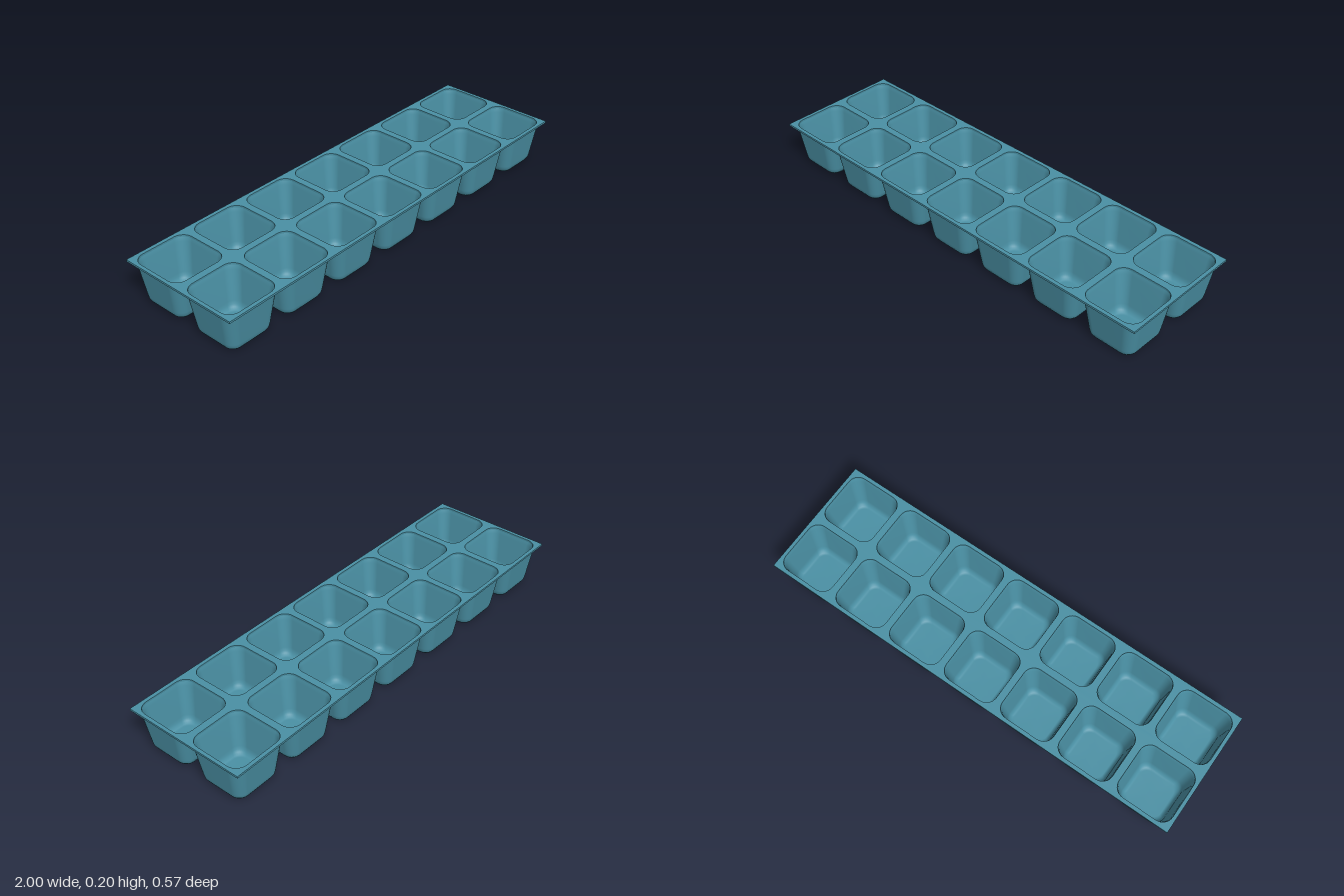
import * as THREE from 'three';

const COLS = 7, ROWS = 2, PITCH = 2 / COLS, HALF_DEPTH = 0.287;
const PLATE_Y = 0.187, PLATE_T = 0.009;
const MOUTH = { half: 0.127, radius: 0.05 };
const CORNER_STEPS = 8;

// Points of a rounded square, as [x, z] pairs
function roundedSquare(half, radius) {
  const pts = [];
  const c = half - radius;
  [[1, 1], [-1, 1], [-1, -1], [1, -1]].forEach(([sx, sz], q) => {
    for (let k = 0; k <= CORNER_STEPS; k++) {
      const a = (q + k / CORNER_STEPS) * Math.PI / 2;
      pts.push([sx * c + radius * Math.cos(a), sz * c + radius * Math.sin(a)]);
    }
  });
  return pts;
}

// Skin over a stack of rounded squares, each [half width, corner radius, y]
function skin(profile) {
  const pos = [], index = [];
  const n = 4 * (CORNER_STEPS + 1);
  profile.forEach(([half, radius, y], i) => {
    roundedSquare(half, radius).forEach(([x, z], j) => {
      pos.push(x, y, z);
      if (i === profile.length - 1) return;
      const a = i * n + j, b = i * n + (j + 1) % n;
      index.push(a, b, a + n, b, b + n, a + n);
    });
  });
  const geo = new THREE.BufferGeometry();
  geo.setAttribute('position', new THREE.Float32BufferAttribute(pos, 3));
  geo.setIndex(index);
  geo.computeVertexNormals();
  return geo;
}

export function createModel() {
  const tray = new THREE.Group();
  tray.name = 'tray';
  const material = new THREE.MeshStandardMaterial({ color: 0x4a90a4 });

  const centres = [];
  for (let c = 0; c < COLS; c++)
    for (let r = 0; r < ROWS; r++)
      centres.push([(c - (COLS - 1) / 2) * PITCH, (r - 0.5) * PITCH]);

  // Thin top plate with one opening per cup
  const shape = new THREE.Shape([[-1, -1], [1, -1], [1, 1], [-1, 1]]
    .map(([x, z]) => new THREE.Vector2(x, z * HALF_DEPTH)));
  for (const [cx, cz] of centres)
    shape.holes.push(new THREE.Path(roundedSquare(MOUTH.half, MOUTH.radius)
      .map(([x, z]) => new THREE.Vector2(cx + x, cz + z))));
  const plateGeo = new THREE.ExtrudeGeometry(shape, { depth: PLATE_T, bevelEnabled: false });
  plateGeo.rotateX(-Math.PI / 2).translate(0, PLATE_Y, 0);
  const plate = new THREE.Mesh(plateGeo, material);
  plate.name = 'topPlate';
  tray.add(plate);

  // Cup walls: outside runs from rim to base, inside from floor to rim
  const outerGeo = skin([
    [0.136, 0.055, 0.188], [0.131, 0.052, 0.183], [0.128, 0.05, 0.165],
    [0.109, 0.042, 0.035], [0.106, 0.041, 0.02], [0.101, 0.04, 0.011],
    [0.094, 0.038, 0.002], [0.085, 0.036, 0], [0, 0, 0],
  ]);
  const innerGeo = skin([
    [0, 0, 0.007], [0.08, 0.034, 0.007], [0.088, 0.036, 0.009],
    [0.095, 0.038, 0.017], [0.1, 0.04, 0.026], [0.103, 0.041, 0.04],
    [0.122, 0.048, 0.17], [MOUTH.half, MOUTH.radius, PLATE_Y],
  ]);
  for (const [x, z] of centres) {
    const cup = new THREE.Group();
    cup.name = 'cup';
    const outside = new THREE.Mesh(outerGeo, material);
    outside.name = 'cupOutside';
    const inside = new THREE.Mesh(innerGeo, material);
    inside.name = 'cupInside';
    cup.add(outside, inside);
    cup.position.set(x, 0, z);
    tray.add(cup);
  }
  return tray;
}
